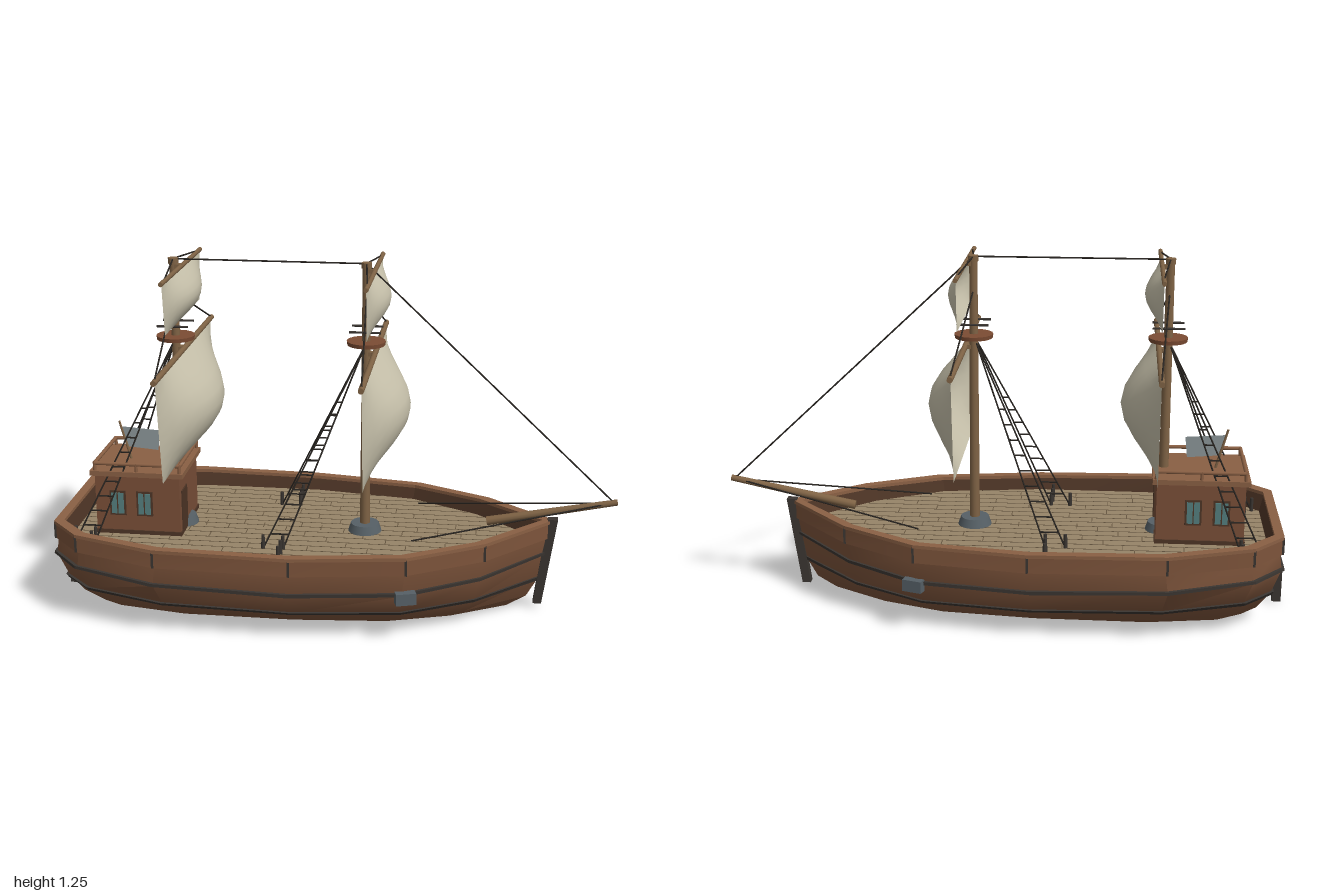
import * as THREE from 'three';
import { toCreasedNormals } from 'three/addons/utils/BufferGeometryUtils.js';

const mat = (color, side = THREE.FrontSide) => new THREE.MeshStandardMaterial({ color, side });
const M = {
  hull: mat(0x7d543b, THREE.DoubleSide), rail: mat(0x8a6044), inner: mat(0x4e3526, THREE.DoubleSide),
  dark: mat(0x3a3531), deck: mat(0x978468), seam: mat(0x65553f), spar: mat(0x7f6345), nest: mat(0x7c4c33),
  cabin: mat(0x7a4f38), iron: mat(0x566066), glass: mat(0x55807f), rope: mat(0x2a2622),
  sail: mat(0xc6c0aa, THREE.DoubleSide), flag: mat(0x8d979a, THREE.DoubleSide),
};

// Half outline of the ship seen from above, stern to bow: [x, half width]
const HALF = [[-0.97, 0], [-0.97, 0.23], [-0.865, 0.338], [-0.575, 0.418], [-0.11, 0.418], [0.28, 0.36], [0.54, 0.22], [0.775, 0]];
const X0 = -0.97, X1 = 0.775;
const sheer = x => 0.02 * ((x - 0.15) / (x > 0.15 ? 0.65 : 1.1)) ** 2;

// One horizontal ring of the ship: level = [y, width scale, stern x, bow x, sheer factor]
function ring([y, s, a, b, k]) {
  const side = HALF.map(([x, z]) => {
    const px = a + (x - X0) / (X1 - X0) * (b - a);
    return [px, y + k * sheer(px), z * s];
  });
  const mirror = side.slice(1, -1).reverse().map(([x, py, z]) => [x, py, -z]);
  return [...side, ...mirror];
}

// Skin between rings, lowest or outermost first
function loft(levels, crease) {
  const rings = levels.map(ring), n = rings[0].length, index = [];
  for (let i = 0; i < rings.length - 1; i++) for (let j = 0; j < n; j++) {
    const a = i * n + j, b = i * n + (j + 1) % n;
    index.push(a, b, b + n, a, b + n, a + n);
  }
  const g = new THREE.BufferGeometry();
  g.setAttribute('position', new THREE.Float32BufferAttribute(rings.flat(2), 3));
  g.setIndex(index);
  return toCreasedNormals(g, crease);
}

// Hull levels from keel to bulwark
const HULL = [
  [0, 0.51, -0.85, 0.62, 0], [0.035, 0.66, -0.9, 0.69, 0.5], [0.09, 0.84, -0.94, 0.73, 1.5],
  [0.175, 0.975, -0.97, 0.755, 2], [0.265, 0.975, -0.96, 0.768, 1.2],
];
function hullAt(y) {
  const i = Math.max(1, HULL.findIndex(l => l[0] >= y));
  const t = (y - HULL[i - 1][0]) / (HULL[i][0] - HULL[i - 1][0]);
  return HULL[i].map((v, c) => THREE.MathUtils.lerp(HULL[i - 1][c], v, t));
}
const grow = ([y, s, a, b, k], d) => [y, s + d / 0.42, a - d, b + d, k];

export function createModel() {
  const root = new THREE.Group();
  const add = (name, geo, m, x = 0, y = 0, z = 0, parent = root) => {
    const mesh = new THREE.Mesh(geo, m);
    mesh.name = name;
    mesh.position.set(x, y, z);
    parent.add(mesh);
    return mesh;
  };
  const box = (name, w, h, d, m, x, y, z, parent) => add(name, new THREE.BoxGeometry(w, h, d), m, x, y, z, parent);
  // Round bar between two points
  const bar = (name, p, q, r, m = M.rope, r2 = r, sides = 6, parent = root) => {
    const a = new THREE.Vector3(...p), b = new THREE.Vector3(...q), d = b.clone().sub(a);
    const mesh = add(name, new THREE.CylinderGeometry(r2, r, d.length(), sides), m, 0, 0, 0, parent);
    mesh.position.copy(a).add(b).multiplyScalar(0.5);
    mesh.quaternion.setFromUnitVectors(new THREE.Vector3(0, 1, 0), d.normalize());
    return mesh;
  };
  const rope = (p, q, parent) => bar('rope', p, q, 0.003, M.rope, 0.003, 5, parent);

  // Hull with flat bottom, and dark strakes along it
  add('hull', loft([[0, 0, -0.1, -0.1, 0], ...HULL], 0.6), M.hull);
  for (const y of [0.09, 0.182]) {
    add('strake', loft([hullAt(y - 0.007), grow(hullAt(y - 0.006), 0.009), grow(hullAt(y + 0.006), 0.009), hullAt(y + 0.007)], 0.3), M.dark);
  }

  // Bulwark: outer planking, dark inside, cap rail
  const rim = (y, d) => [y, 1 - d / 0.42, X0 + d, X1 - d * 1.3, 1];
  add('bulwark', loft([rim(0.255, 0.018), rim(0.255, 0.002), rim(0.314, 0.002)], 0.3), M.hull);
  add('bulwarkInside', loft([rim(0.314, 0.026), rim(0.25, 0.042)], 0.3), M.inner);
  add('capRail', loft([rim(0.31, 0.03), rim(0.31, -0.002), rim(0.322, -0.002), rim(0.322, 0.03), rim(0.31, 0.03)], 0.3), M.rail);
  for (const [x, z] of HALF.slice(1, -1)) for (const s of [-1, 1]) {
    box('bulwarkSeam', 0.008, 0.06, 0.008, M.dark, x, 0.285 + sheer(x), s * (z - 0.003));
  }

  // Deck with plank seams and staggered joints
  const deckY = 0.268, inset = 0.035;
  const deckRing = ring(rim(0, inset));
  const deck = new THREE.ShapeGeometry(new THREE.Shape(deckRing.map(p => new THREE.Vector2(p[0], p[2]))));
  add('deck', deck.rotateX(-Math.PI / 2), M.deck, 0, deckY, 0);
  const edge = deckRing.slice(1, HALF.length);
  const reach = z => {
    const cross = [];
    for (let i = 0; i < edge.length - 1; i++) {
      const [xa, , za] = edge[i], [xb, , zb] = edge[i + 1];
      if ((za - z) * (zb - z) < 0) cross.push(xa + (xb - xa) * (z - za) / (zb - za));
    }
    return cross.length > 1 ? cross : [edge[0][0], cross[0]];
  };
  const pitch = 0.043;
  for (let i = -8; i <= 8; i++) {
    const [a, b] = reach(Math.abs(i * pitch) + 0.001);
    box('plankSeam', b - a, 0.002, 0.003, M.seam, (a + b) / 2, deckY, i * pitch);
    for (let x = a + 0.06 + ((i + 8) * 0.37 % 1) * 0.2; x < b - 0.08; x += 0.21) {
      box('plankJoint', 0.003, 0.002, pitch, M.seam, x, deckY, (i - Math.sign(i) * 0.5) * pitch);
    }
  }

  // Stem post, rudder and side fittings
  const stem = new THREE.Shape([[0.715, 0.02], [0.745, 0.02], [0.79, 0.345], [0.755, 0.345]].map(p => new THREE.Vector2(...p)));
  add('stemPost', new THREE.ExtrudeGeometry(stem, { depth: 0.03, bevelEnabled: false }), M.dark, 0, 0, -0.015);
  box('rudder', 0.032, 0.15, 0.02, M.dark, -0.984, 0.08, 0);
  for (const s of [-1, 1]) box('hullFitting', 0.07, 0.042, 0.03, M.iron, 0.28, 0.175, s * 0.358).rotation.y = s * 0.3;

  // Bowsprit and its stays
  bar('bowsprit', [0.54, 0.325, 0], [0.993, 0.417, 0], 0.016, M.spar, 0.011, 10);
  for (const s of [-1, 1]) rope([0.285, 0.31, s * 0.18], [0.97, 0.412, 0]);

  // Sail billowing forward, narrower at the foot
  function sail(name, top, bottom, wTop, wBottom, belly, x, parent) {
    const g = new THREE.PlaneGeometry(1, 1, 12, 8), p = g.attributes.position;
    for (let i = 0; i < p.count; i++) {
      const u = p.getX(i) * 2, v = p.getY(i) + 0.5;
      p.setXYZ(i, belly * Math.sin(Math.PI * v) * Math.cos(u * Math.PI / 2),
        THREE.MathUtils.lerp(bottom, top, v), -u * THREE.MathUtils.lerp(wBottom, wTop, v));
    }
    g.computeVertexNormals();
    add(name, g, M.sail, x, 0, 0, parent);
  }

  // Mast with lookout, yards, sails and rigging, local x = 0 at the mast
  function mast(name, mx) {
    const g = new THREE.Group();
    g.name = name;
    g.position.x = mx;
    root.add(g);
    bar('mastPole', [0, deckY, 0], [0, 1.243, 0], 0.018, M.spar, 0.014, 12, g);
    bar('mastCap', [0, 1.225, 0], [0, 1.245, 0], 0.018, M.spar, 0.018, 10, g);
    add('mastCollar', new THREE.CylinderGeometry(0.05, 0.06, 0.03, 20), M.iron, 0, deckY + 0.015, 0, g);
    add('lookout', new THREE.CylinderGeometry(0.068, 0.066, 0.014, 16), M.nest, 0, 0.965, 0, g);
    for (const s of [-1, 1]) bar('lookoutRail', [-0.055, 1.012, s * 0.046], [0.055, 1.012, s * 0.046], 0.004, M.dark, 0.004, 6, g);
    bar('lowerYard', [0.03, 0.926, -0.452], [0.03, 0.926, 0.452], 0.01, M.spar, 0.01, 10, g);
    bar('upperYard', [0.028, 1.216, -0.3], [0.028, 1.216, 0.3], 0.008, M.spar, 0.008, 10, g);
    for (const y of [0.926, 1.216]) box('yardBracket', 0.035, 0.014, 0.025, M.spar, 0.015, y, 0, g);
    sail('lowerSail', 0.915, 0.556, 0.432, 0.38, 0.127, 0.03, g);
    sail('upperSail', 1.207, 1.037, 0.287, 0.264, 0.056, 0.028, g);
    for (const s of [-1, 1]) {
      rope([0, 1.242, 0], [0.028, 1.22, s * 0.25], g);
      rope([0, 1.125, 0], [0.03, 0.935, s * 0.43], g);
      // Shrouds with rungs, tied to deck pins
      const head = [-0.01, 0.94, s * 0.012], feet = [[-0.335, deckY, s * 0.21], [-0.265, deckY, s * 0.21]];
      const at = (f, t) => f.map((v, i) => THREE.MathUtils.lerp(v, head[i], t));
      for (const f of feet) {
        rope(f, head, g);
        bar('pin', f, [f[0], deckY + 0.05, f[2]], 0.007, M.dark, 0.006, 8, g);
      }
      for (let i = 1; i <= 9; i++) rope(at(feet[0], i * 0.075), at(feet[1], i * 0.075), g);
      for (const z of [0.25, 0.3]) bar('pin', [-0.268, deckY, s * z], [-0.268, deckY + 0.05, s * z], 0.007, M.dark, 0.006, 8, g);
    }
  }
  mast('aftMast', -0.565);
  mast('foreMast', 0.105);
  rope([-0.565, 1.241, 0], [0.105, 1.241, 0]);
  rope([0.105, 1.241, 0], [0.98, 0.416, 0]);

  // Deckhouse with windows, door, roof and railing
  const cabin = new THREE.Group();
  cabin.name = 'deckhouse';
  cabin.position.x = -0.692;
  root.add(cabin);
  box('cabinWalls', 0.305, 0.225, 0.275, M.cabin, 0, 0.375, 0, cabin);
  box('roof', 0.335, 0.018, 0.3, M.rail, 0, 0.496, 0, cabin);
  box('baseTrim', 0.313, 0.015, 0.283, M.inner, 0, 0.275, 0, cabin);
  for (const s of [-1, 1]) {
    for (const x of [-0.072, 0.025]) {
      box('windowFrame', 0.058, 0.092, 0.008, M.inner, x, 0.385, s * 0.138, cabin);
      box('windowPane', 0.044, 0.078, 0.008, M.glass, x, 0.385, s * 0.141, cabin);
      box('windowBar', 0.004, 0.078, 0.008, M.inner, x, 0.385, s * 0.143, cabin);
    }
    bar('sideRailing', [-0.15, 0.532, s * 0.14], [0.155, 0.532, s * 0.14], 0.007, M.rail, 0.007, 8, cabin);
    for (const x of [-0.15, 0, 0.155]) bar('railPost', [x, 0.5, s * 0.14], [x, 0.536, s * 0.14], 0.006, M.rail, 0.006, 8, cabin);
  }
  for (const x of [-0.15, 0.155]) bar('endRailing', [x, 0.532, -0.14], [x, 0.532, 0.14], 0.007, M.rail, 0.007, 8, cabin);
  for (const z of [-0.085, 0, 0.085]) box('sternWindow', 0.008, 0.07, 0.055, M.dark, -0.153, 0.4, z, cabin);
  box('door', 0.008, 0.16, 0.075, M.inner, 0.153, 0.35, 0.075, cabin);

  // Stern flag on a raked pole
  bar('flagPole', [-0.745, 0.5, 0], [-0.785, 0.645, 0], 0.005, M.spar, 0.004, 8);
  const cloth = new THREE.Shape([[-0.758, 0.55], [-0.645, 0.54], [-0.637, 0.615], [-0.778, 0.625]].map(p => new THREE.Vector2(...p)));
  add('flag', new THREE.ShapeGeometry(cloth), M.flag);
  return root;
}
